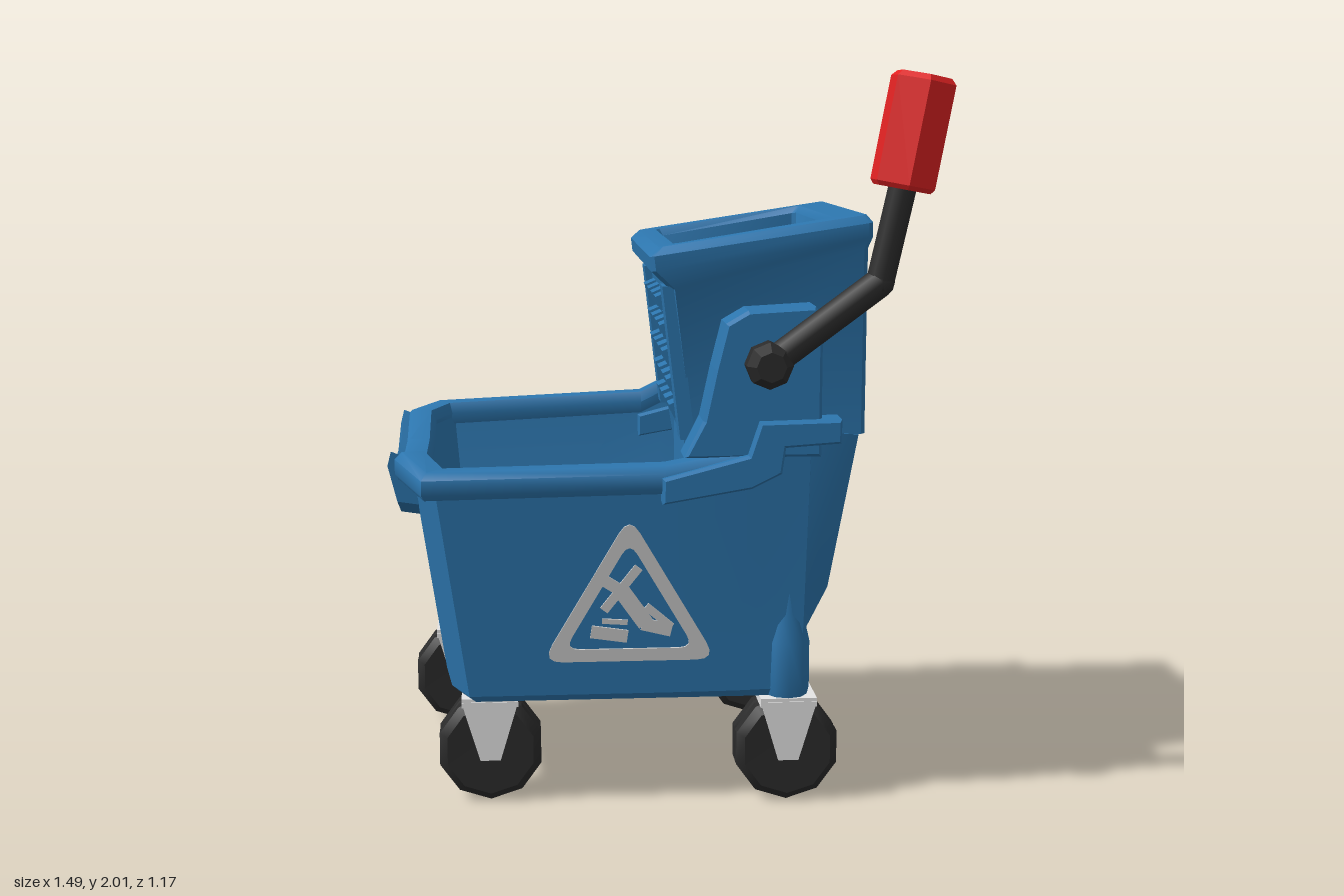
import * as THREE from 'three';
import { toCreasedNormals } from 'three/addons/utils/BufferGeometryUtils.js';

const mat = (name, color) => new THREE.MeshStandardMaterial({ name, color });

// Joins rings of [x, y, z] points into a closed skin with fan caps
function loft(rings, crease = 0.6) {
  const pos = [];
  const tri = (...p) => p.forEach(v => pos.push(...v));
  const mid = r => [0, 1, 2].map(k => r.reduce((s, p) => s + p[k], 0) / r.length);
  const first = rings[0], last = rings[rings.length - 1], n = first.length;
  const c0 = mid(first), c1 = mid(last);
  for (let j = 0; j < n; j++) {
    const k = (j + 1) % n;
    for (let i = 0; i < rings.length - 1; i++) {
      const [a, b, c, d] = [rings[i][j], rings[i][k], rings[i + 1][j], rings[i + 1][k]];
      tri(a, b, d);
      tri(a, d, c);
    }
    tri(c0, first[k], first[j]);
    tri(c1, last[j], last[k]);
  }
  const g = new THREE.BufferGeometry();
  g.setAttribute('position', new THREE.Float32BufferAttribute(pos, 3));
  return toCreasedNormals(g, crease);
}

function extrude(points, depth, bevel = 0) {
  const shape = new THREE.Shape(points.map(p => new THREE.Vector2(...p)));
  return new THREE.ExtrudeGeometry(shape, {
    depth: depth - 2 * bevel, bevelEnabled: bevel > 0, bevelSize: bevel * 0.6,
    bevelThickness: bevel, bevelSegments: 1, bevelOffset: -bevel * 0.6,
  }).translate(0, 0, bevel);
}

const lathe = (points, sides, crease = 0.5) =>
  toCreasedNormals(new THREE.LatheGeometry(points.map(p => new THREE.Vector2(...p)), sides), crease);

export function createModel() {
  const blue = mat('bluePlastic', 0x2c75ad), black = mat('blackRubber', 0x2b2b2b);
  const red = mat('redGrip', 0xe22222), metal = mat('paleMetal', 0xe4e4e4);
  const signGrey = mat('signGrey', 0xcccccc);
  const model = new THREE.Group();
  const add = (name, geo, m, parent = model) => {
    const mesh = new THREE.Mesh(geo, m);
    mesh.name = name;
    parent.add(mesh);
    return mesh;
  };
  const box = (w, h, d, x, y, z) => new THREE.BoxGeometry(w, h, d).translate(x, y, z);

  // Bucket outline: top x, top z, top y, bottom x, bottom z
  const outline = [
    [-0.62, 0.44, 0.92, -0.53, 0.41], [0, 0.44, 0.93, 0, 0.41], [0.22, 0.44, 0.97, 0.2, 0.41],
    [0.27, 0.44, 1.04, 0.27, 0.41], [0.40, 0.43, 1.05, 0.38, 0.41], [0.41, 0.37, 1.03, 0.39, 0.34],
    [0.54, 0.36, 1.02, 0.39, 0.31], [0.54, -0.43, 1.02, 0.39, -0.38], [0.41, -0.44, 1.03, 0.39, -0.41],
    [0.40, -0.51, 1.07, 0.38, -0.47], [0.24, -0.525, 1.07, 0.24, -0.47], [0.1, -0.525, 1.04, 0.1, -0.47],
    [0, -0.525, 0.99, 0, -0.47], [-0.62, -0.53, 0.96, -0.58, -0.47], [-0.69, -0.42, 0.95, -0.63, -0.37],
    [-0.69, -0.24, 0.89, -0.62, -0.2], [-0.69, 0.1, 0.88, -0.6, 0.12], [-0.685, 0.28, 0.945, -0.58, 0.3],
  ];
  const wallRing = (t, scale, floorY, panelX) => outline.map(([tx, tz, ty, bx, bz], i) => {
    let x = bx + (tx - bx) * t;
    const z = bz + (tz - bz) * t;
    if (panelX && (i === 6 || i === 7)) x = panelX;
    return [-0.06 + (x + 0.06) * scale, floorY + (ty - floorY) * t, -0.045 + (z + 0.045) * scale];
  });
  add('bucketBody', loft([
    wallRing(0, 0.97, 0.295), wallRing(0.03, 1, 0.295), wallRing(0.23, 1, 0.295, 0.405),
    wallRing(0.4, 1, 0.295, 0.465), wallRing(1, 1, 0.295),
    wallRing(1, 0.94, 0.34), wallRing(0.06, 0.91, 0.34), wallRing(0, 0.86, 0.34),
  ], 0.5), blue);

  // Rolled rim swept around the open side of the bucket
  const path = [9, 10, 11, 12, 13, 14, 15, 16, 17, 0, 1, 2, 3, 4].map(i => outline[i]);
  const section = [[0.035, -0.045], [-0.04, -0.035], [-0.05, 0], [-0.035, 0.03], [0.025, 0.03], [0.045, 0.01], [0.045, -0.03]];
  add('bucketRim', loft(path.map(([x, z, y], i) => {
    const dir = (a, b) => new THREE.Vector2(b[0] - a[0], b[1] - a[1]).normalize();
    const d0 = dir(path[Math.max(i - 1, 0)], path[Math.max(i, 1)]);
    const last = path.length - 1;
    const d1 = dir(path[Math.min(i, last - 1)], path[Math.min(i + 1, last)]);
    const t = d0.clone().add(d1).normalize();
    const miter = 1 / Math.max(0.6, t.dot(d0));
    return section.map(([o, h]) => [x - t.y * o * miter, y + h, z + t.x * o * miter]);
  }), 0.8), blue);

  // Pouring lip hanging at the narrow end, lowest in the middle
  const lip = [[0.28, 0.975], [0.1, 0.91], [-0.24, 0.92], [-0.43, 0.98]];
  add('pouringLip', loft(lip.map(([z, y]) => [[-0.66, y - 0.15], [-0.725, y - 0.14], [-0.75, y - 0.04],
    [-0.74, y], [-0.66, y - 0.03]].map(([x, h]) => [x, h, z])), 0.8), blue);

  // Stepped clamps and corner columns on both sides
  const step = [[-0.01, 0.86], [0.23, 0.9], [0.31, 0.94], [0.32, 1.01], [0.47, 1.02], [0.47, 1.085],
    [0.25, 1.08], [0.22, 0.99], [-0.01, 0.93]];
  for (const [side, z, y, colZ] of [['left', 0.40, 0, 0.375], ['right', -0.585, 0.018, -0.435]]) {
    add(side + 'RimClamp', extrude(step, 0.11, 0.012).translate(0, y, z), blue);
    const profile = [[0, 0.295], [0.058, 0.295], [0.064, 0.32], [0.064, 0.45], [0.045, 0.53], [0.04, 0.98], [0, 0.98]];
    add(side + 'CornerColumn', lathe(profile, 10, 0.7).translate(0.345, 0, colZ), blue);
  }

  // Wringer: a hollow tapered box with a sloping, thick rim
  const rect = (x0, x1, z0, z1, yl, yr) => {
    const c = 0.012;
    return [[x0, z1 - c], [x0 + c, z1], [x1 - c, z1], [x1, z1 - c], [x1, z0 + c], [x1 - c, z0], [x0 + c, z0], [x0, z0 + c]]
      .map(([x, z]) => [x, yl + (yr - yl) * (x - x0) / (x1 - x0), z]);
  };
  add('wringer', loft([
    rect(0.10, 0.46, -0.36, 0.28, 0.85, 0.85), rect(0.075, 0.5, -0.40, 0.34, 1.01, 1.01),
    rect(0.072, 0.56, -0.41, 0.35, 1.02, 1.02), rect(0.022, 0.56, -0.415, 0.355, 1.42, 1.53),
    rect(-0.03, 0.57, -0.43, 0.37, 1.47, 1.56), rect(-0.035, 0.57, -0.43, 0.37, 1.51, 1.6),
    rect(-0.01, 0.555, -0.41, 0.35, 1.535, 1.62), rect(0.035, 0.475, -0.345, 0.285, 1.54, 1.61),
    rect(0.045, 0.462, -0.332, 0.272, 1.52, 1.59), rect(0.10, 0.46, -0.325, 0.265, 1.1, 1.0),
  ]), blue);

  // Raised edges and pressing knobs on the wringer wall facing the bucket
  const edge = [[0.05, 1.01], [0.09, 1.01], [0.04, 1.43], [0, 1.43]];
  for (const z of [-0.413, 0.262]) add('wringerEdge', extrude(edge, 0.09).translate(0, 0, z), blue);
  const knobs = new THREE.Group();
  knobs.name = 'wringerKnobs';
  model.add(knobs);
  for (let row = 0; row < 5; row++) {
    for (let col = 0; col < 4; col++) {
      const y = 1.07 + row * 0.076;
      const knob = add('knob', new THREE.BoxGeometry(0.04, 0.042, 0.075), blue, knobs);
      knob.position.set(0.065 - 0.125 * (y - 1.02), y, -0.24 + col * 0.13 + (row % 2) * 0.03);
      knob.rotation.z = 0.4;
    }
  }
  add('wringerPost', box(0.09, 0.55, 0.16, 0.14, 0.62, -0.03), blue);
  add('wringerBracket', box(0.06, 0.16, 0.34, 0.11, 0.92, -0.03), blue);

  // Gear housing on the handle side
  add('gearHousing', extrude([[0.05, 0.98], [0.42, 0.98], [0.42, 1.36], [0.40, 1.385], [0.22, 1.375],
    [0.16, 1.34], [0.13, 1.22], [0.10, 1.08]], 0.14, 0.015).translate(0, 0, 0.34), blue);

  // Lever with bent arm
  const between = (name, geo, a, b, m) => {
    const mesh = add(name, geo, m);
    const from = new THREE.Vector3(...a), to = new THREE.Vector3(...b);
    mesh.position.copy(from).lerp(to, 0.5);
    mesh.quaternion.setFromUnitVectors(new THREE.Vector3(0, 1, 0), to.sub(from).normalize());
  };
  const rod = (a, b, r, name) => between(name, new THREE.CylinderGeometry(r, r,
    new THREE.Vector3(...a).distanceTo(new THREE.Vector3(...b)), 8), a, b, black);
  const elbow = [0.565, 1.45, 0.495];
  const pivot = [[0, -0.055], [0.05, -0.055], [0.063, -0.03], [0.063, 0.02], [0.04, 0.055], [0, 0.055]];
  between('leverPivot', lathe(pivot, 8), [0.27, 1.235, 0.46], [0.27, 1.235, 0.57], black);
  rod([0.27, 1.235, 0.51], elbow, 0.04, 'lowerLeverArm');
  rod(elbow, [0.63, 1.75, 0.5], 0.038, 'upperLeverArm');
  add('leverElbow', new THREE.SphereGeometry(0.04, 8, 6).translate(...elbow), black);
  const grip = [[0, -0.15], [0.08, -0.15], [0.09, -0.138], [0.09, 0.135], [0.075, 0.15], [0, 0.15]];
  between('leverGrip', lathe(grip, 6), [0.617, 1.7, 0.5], [0.67, 1.985, 0.5], red);

  // Casters: a grooved wheel between two fork plates
  const forkSide = [[-0.028, 0.12], [0.028, 0.12], [0.078, 0.287], [-0.078, 0.287]];
  const tread = [[0, -0.065], [0.125, -0.068], [0.148, -0.045], [0.148, -0.01], [0.135, -0.004],
    [0.135, 0.004], [0.148, 0.01], [0.148, 0.045], [0.125, 0.068], [0, 0.065]];
  for (const [name, x, z] of [['rearLeft', 0.345, 0.352], ['rearRight', 0.345, -0.43],
    ['frontLeft', -0.478, 0.295], ['frontRight', -0.57, -0.425]]) {
    const caster = new THREE.Group();
    caster.name = name + 'Caster';
    caster.position.set(x, 0, z);
    model.add(caster);
    add('wheel', lathe(tread, 10).rotateX(Math.PI / 2).translate(0, 0.143, 0), black, caster);
    for (const s of [-1, 1]) add('forkSide', extrude(forkSide, 0.014).translate(0, 0, s * 0.079 - 0.007), metal, caster);
    add('forkTop', box(0.156, 0.025, 0.166, 0, 0.284, 0), metal, caster);
  }

  // Thin warning signs on both long sides
  const corners = [[-0.24, 0.115], [0.24, 0.115], [0, 0.525]];
  const triangle = (scale, Type) => {
    const outlinePath = new Type();
    const pts = corners.map(([x, y]) => new THREE.Vector2(x * scale, 0.25 + (y - 0.25) * scale));
    pts.forEach((p, i) => {
      const a = p.clone().lerp(pts[(i + 2) % 3], 0.12), b = p.clone().lerp(pts[(i + 1) % 3], 0.12);
      i ? outlinePath.lineTo(a.x, a.y) : outlinePath.moveTo(a.x, a.y);
      outlinePath.quadraticCurveTo(p.x, p.y, b.x, b.y);
    });
    outlinePath.closePath();
    return outlinePath;
  };
  // Falling figure and wet floor strokes: start, end, width
  const strokes = [[-0.07, 0.355, 0.0, 0.31, 0.032], [0.04, 0.38, -0.055, 0.26, 0.025], [-0.01, 0.32, 0.06, 0.22, 0.045],
    [0.05, 0.22, 0.13, 0.2, 0.035], [0.06, 0.27, 0.13, 0.21, 0.022], [-0.09, 0.2, 0.01, 0.185, 0.035], [-0.06, 0.23, 0.01, 0.225, 0.014]];
  for (const [s, z, slope, x] of [[1, 0.412, 0.047, -0.095], [-1, -0.473, 0.082, -0.12]]) {
    const sign = new THREE.Group();
    sign.name = s > 0 ? 'leftWarningSign' : 'rightWarningSign';
    sign.position.set(x, 0.295, z);
    sign.rotation.set(s * Math.atan(slope), s > 0 ? 0 : Math.PI, 0);
    model.add(sign);
    const frame = triangle(1, THREE.Shape);
    frame.holes.push(triangle(0.74, THREE.Path));
    add('signFrame', new THREE.ExtrudeGeometry(frame, { depth: 0.006, bevelEnabled: false, curveSegments: 4 }), signGrey, sign);
    for (const [x1, y1, x2, y2, w] of strokes) {
      const bar = add('signFigure', new THREE.BoxGeometry(Math.hypot(x2 - x1, y2 - y1), w, 0.006), signGrey, sign);
      bar.position.set((x1 + x2) / 2 - 0.015, (y1 + y2) / 2, 0.003);
      bar.rotation.z = Math.atan2(y2 - y1, x2 - x1);
    }
  }
  return model;
}
